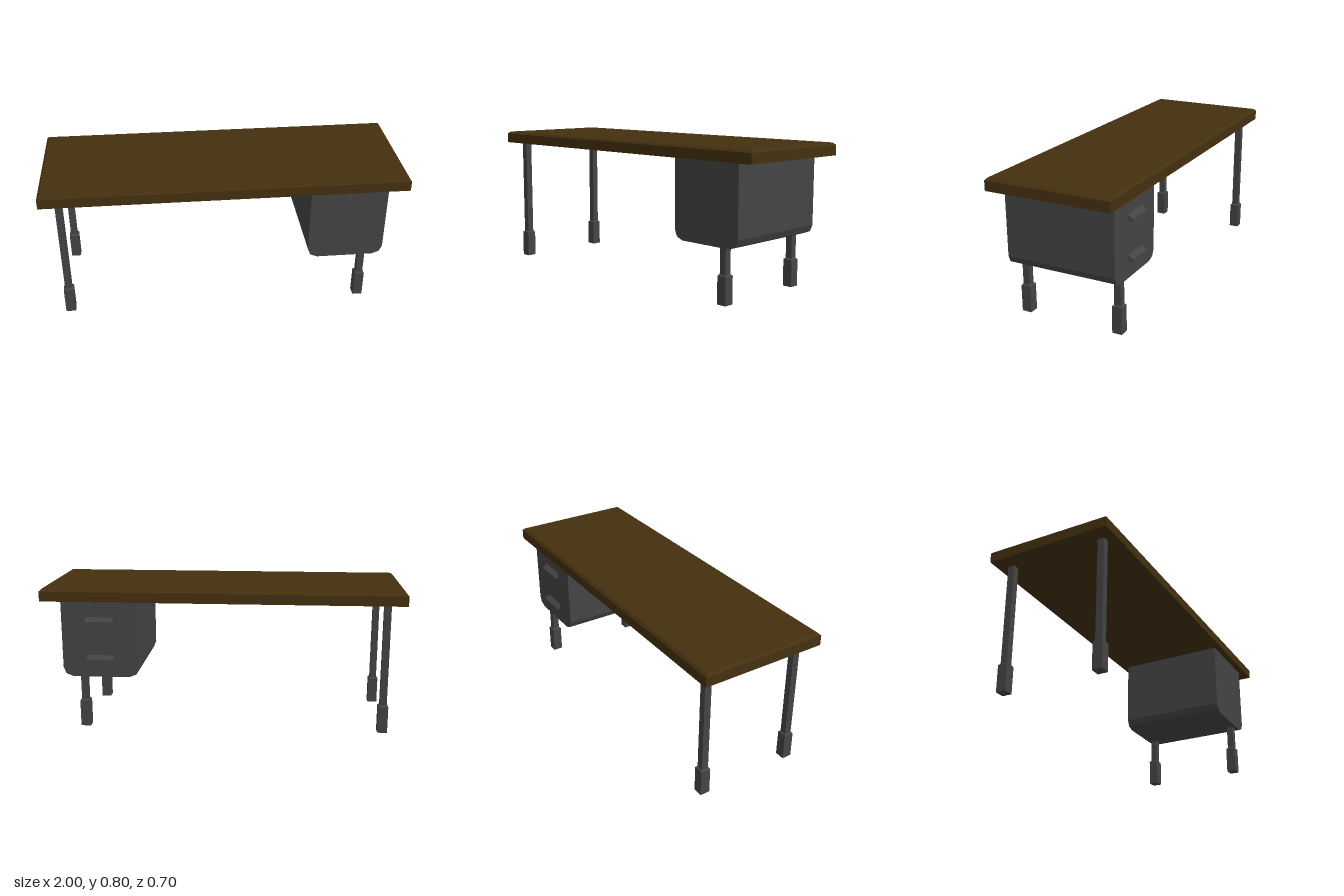
import * as THREE from 'three';

const wood = new THREE.MeshStandardMaterial({ color: 0x44300f, flatShading: true });
const metal = new THREE.MeshStandardMaterial({ color: 0x444444, flatShading: true });

// Box standing on y = 0 whose top edge is chamfered by `inset` over the height `drop`
function chamferedBox(w, h, d, inset, drop) {
  const geo = new THREE.BoxGeometry(w, h, d, 1, 2, 1).translate(0, h / 2, 0);
  const pos = geo.attributes.position;
  for (let i = 0; i < pos.count; i++) {
    const y = pos.getY(i);
    if (y > h * 0.75) {
      pos.setX(i, pos.getX(i) - Math.sign(pos.getX(i)) * inset);
      pos.setZ(i, pos.getZ(i) - Math.sign(pos.getZ(i)) * inset);
    } else if (y > h * 0.25) {
      pos.setY(i, h - drop);
    }
  }
  geo.computeVertexNormals();
  return geo;
}

// Flat outline extruded along z, centred on z = 0
function prism(points, depth) {
  const shape = new THREE.Shape(points.map(([x, y]) => new THREE.Vector2(x, y)));
  return new THREE.ExtrudeGeometry(shape, { depth, bevelEnabled: false }).translate(0, 0, -depth / 2);
}

function addMesh(parent, name, geometry, material, x = 0, y = 0, z = 0) {
  const mesh = new THREE.Mesh(geometry, material);
  mesh.name = name;
  mesh.position.set(x, y, z);
  parent.add(mesh);
  return mesh;
}

// Thin square post with a thicker, chamfered foot
function makeLeg(name, x, z, top) {
  const leg = new THREE.Group();
  leg.name = name;
  leg.position.set(x, 0, z);
  addMesh(leg, 'foot', chamferedBox(0.055, 0.158, 0.055, 0.0085, 0.008), metal);
  const height = top - 0.158;
  addMesh(leg, 'post', new THREE.BoxGeometry(0.038, height, 0.038), metal, 0, 0.158 + height / 2, 0);
  return leg;
}

export function createModel() {
  const desk = new THREE.Group();
  desk.name = 'desk';

  // Desktop with a chamfered upper edge
  addMesh(desk, 'desktop', chamferedBox(2, 0.068, 0.704, 0.013, 0.013), wood, 0, 0.732, 0);

  // Legs: long pair on the open side, short pair under the cabinet
  for (const [end, z] of [['front', 0.275], ['back', -0.275]]) {
    desk.add(makeLeg(end + 'RightLeg', -0.9, z, 0.732));
    desk.add(makeLeg(end + 'LeftLeg', 0.782, z, 0.298));
  }

  // Drawer cabinet with faceted lower corners
  const cabinet = new THREE.Group();
  cabinet.name = 'cabinet';
  cabinet.position.x = 0.679;
  desk.add(cabinet);
  const half = [[0.159, 0.298], [0.199, 0.314], [0.214, 0.35], [0.214, 0.732]];
  const mirrored = half.map(([x, y]) => [-x, y]).reverse();
  addMesh(cabinet, 'cabinetBody', prism([...half, ...mirrored], 0.626), metal);

  // Wedge-shaped drawer handles on the back face
  const wedge = [[0, 0], [0.028, 0], [0.028, 0.014], [0, 0.035]];
  for (const [name, y] of [['upperHandle', 0.605], ['lowerHandle', 0.388]]) {
    const handle = addMesh(cabinet, name, prism(wedge, 0.15), metal, 0, y, -0.313);
    handle.rotation.y = Math.PI / 2;
  }
  return desk;
}
